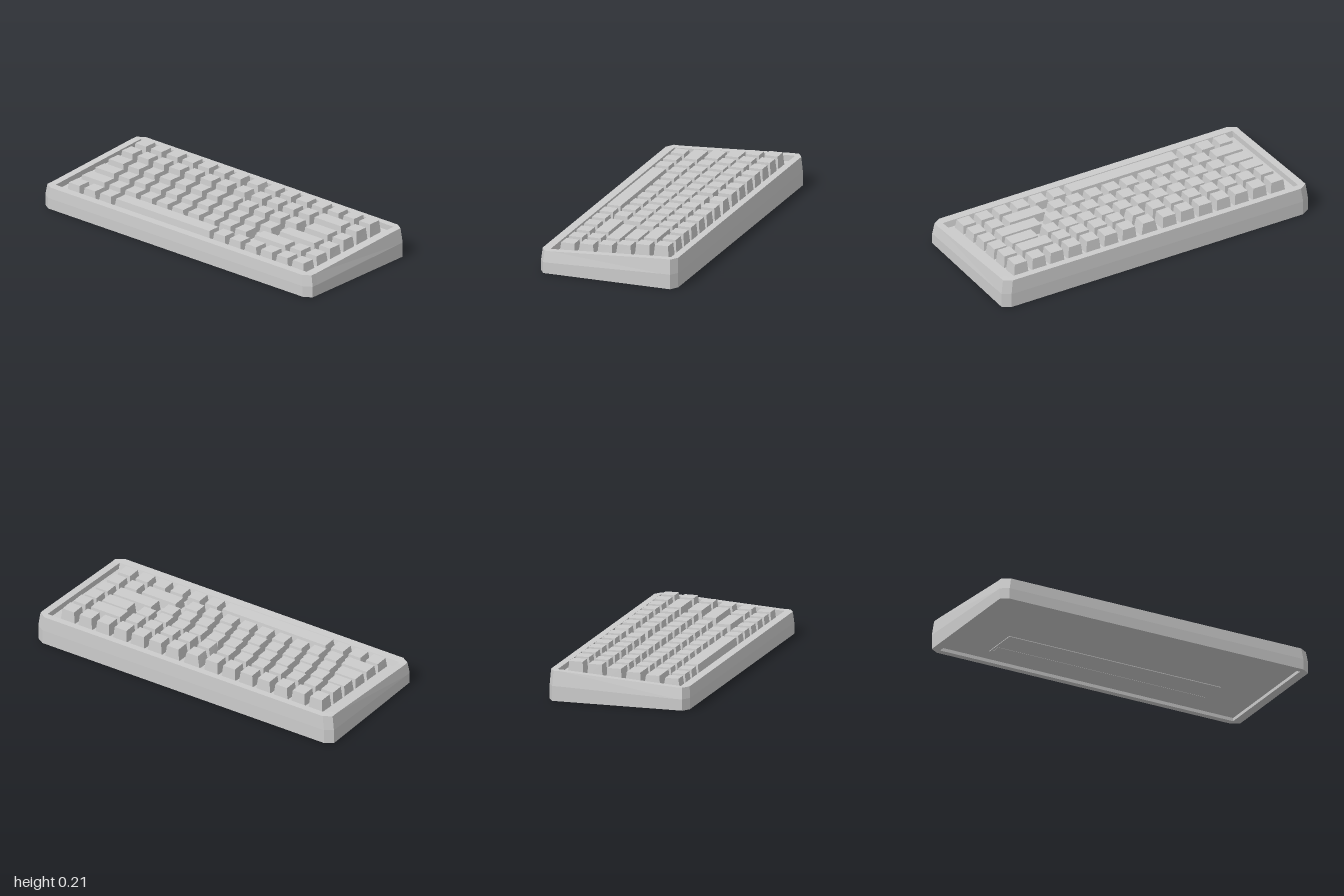
import * as THREE from 'three';

const material = new THREE.MeshStandardMaterial({ color: 0xcccccc, flatShading: true });
const clamp = THREE.MathUtils.clamp;

// Sloping deck line from front (low) to back (high)
const slope = (z) => 0.151 - 0.0609 * z;
const rimY = (z) => slope(clamp(z, -0.345, 0.345));
const plateY = (z) => slope(z) - 0.035;

// Chamfered outline of the case, as [x, z]
const quarter = [[1, 0.345], [1, 0.385], [0.952, 0.415]];
const flipped = [...quarter].reverse();
const outline = [
  ...quarter,
  ...flipped.map(([x, z]) => [-x, z]),
  ...quarter.map(([x, z]) => [-x, -z]),
  ...flipped.map(([x, z]) => [x, -z]),
];

// Ring makers: scaled outline, outline clamped to a rectangle, single centre point
const scaled = (sx, sz, y) => outline.map(([x, z]) => new THREE.Vector3(x * sx, y(z * sz), z * sz));
const boxed = (hx, zBack, zFront, y) => outline.map(([x, z]) => {
  const cz = clamp(z, zBack, zFront);
  return new THREE.Vector3(clamp(x, -hx, hx), y(cz), cz);
});
const centre = (y) => outline.map(() => new THREE.Vector3(0, y, 0));

function loft(rings) {
  const positions = [];
  const triangle = (a, b, c) => {
    if (a.equals(b) || b.equals(c) || a.equals(c)) return;
    for (const p of [a, b, c]) positions.push(p.x, p.y, p.z);
  };
  for (let r = 0; r < rings.length - 1; r++) {
    const a = rings[r], b = rings[r + 1];
    for (let i = 0; i < a.length; i++) {
      const j = (i + 1) % a.length;
      triangle(a[i], b[i], b[j]);
      triangle(a[i], b[j], a[j]);
    }
  }
  const geometry = new THREE.BufferGeometry();
  geometry.setAttribute('position', new THREE.Float32BufferAttribute(positions, 3));
  geometry.computeVertexNormals();
  return geometry;
}

function addMesh(parent, name, geometry) {
  const mesh = new THREE.Mesh(geometry, material);
  mesh.name = name;
  parent.add(mesh);
  return mesh;
}

// Keycap: a box whose top is drawn in and whose base follows the plate
function keycapGeometry(x, z, width, depth, top, taper) {
  const geometry = new THREE.BoxGeometry(width, 1, depth);
  const p = geometry.attributes.position;
  for (let i = 0; i < p.count; i++) {
    const upper = p.getY(i) > 0;
    const inset = upper ? taper : 0;
    const px = x + p.getX(i) - Math.sign(p.getX(i)) * inset;
    const pz = z + p.getZ(i) - Math.sign(p.getZ(i)) * Math.min(inset, 0.007);
    p.setXYZ(i, px, upper ? top : plateY(pz) - 0.002, pz);
  }
  geometry.computeVertexNormals();
  return geometry;
}

const UNIT = 0.1177, GAP = 0.025, EDGE = 0.884, DEPTH = 0.093;
const ones = (n) => Array(n).fill(1);

// Rows from back to front: widths laid from the left edge and from the right edge
const rows = [
  { top: 0.208, fromLeft: ones(7), fromRight: ones(7), middle: true },
  { top: 0.2, fromLeft: ones(7), fromRight: [1, 2, ...ones(4)], middle: true },
  { top: 0.184, fromLeft: [1.25, ...ones(11)], fromRight: [1, 1.75] },
  { top: 0.17, fromLeft: [1.5, ...ones(10)], fromRight: [1, 2.5] },
  { top: 0.16, fromLeft: [1.75, ...ones(9)], fromRight: [1, 1, 2.25] },
  { top: 0.152, fromLeft: [1, 1, 1, 6.25], fromRight: ones(6) },
];

export function createModel() {
  const model = new THREE.Group();
  model.name = 'keyboard';

  // Case: recessed underside, side walls, sloping rim and sunken key plate in one skin
  addMesh(model, 'case', loft([
    centre(0.02),
    boxed(0.95, -0.38, 0.38, () => 0.02),
    boxed(0.95, -0.38, 0.38, () => 0),
    scaled(1, 1, () => 0),
    scaled(1, 1, (z) => rimY(z) / 2),
    scaled(0.988, 0.988, rimY),
    boxed(0.945, -0.37, 0.36, rimY),
    boxed(0.945, -0.37, 0.35, plateY),
    centre(plateY(0)),
  ]));

  // Underside panel with a slim rail
  addMesh(model, 'bottomPanel', new THREE.BoxGeometry(1.37, 0.006, 0.235)).position.set(0, 0.019, -0.173);
  addMesh(model, 'bottomRail', new THREE.BoxGeometry(1.34, 0.006, 0.06)).position.set(0, 0.0175, -0.24);

  // Keys
  const keys = new THREE.Group();
  keys.name = 'keys';
  model.add(keys);
  rows.forEach(({ top, fromLeft, fromRight, middle }, r) => {
    const z = (r - 2.5) * 0.1135;
    const run = (widths, side) => {
      let start = EDGE;
      for (const w of widths) {
        const width = w * UNIT - GAP;
        const x = side * (start - width / 2);
        addMesh(keys, w > 6 ? 'spaceBar' : 'key', keycapGeometry(x, z, width, DEPTH, top, 0.007));
        start -= w * UNIT;
      }
    };
    run(fromLeft, -1);
    run(fromRight, 1);
    if (middle) addMesh(keys, 'middleKey', keycapGeometry(0, z, 0.108, DEPTH, top, 0.016));
  });

  return model;
}
